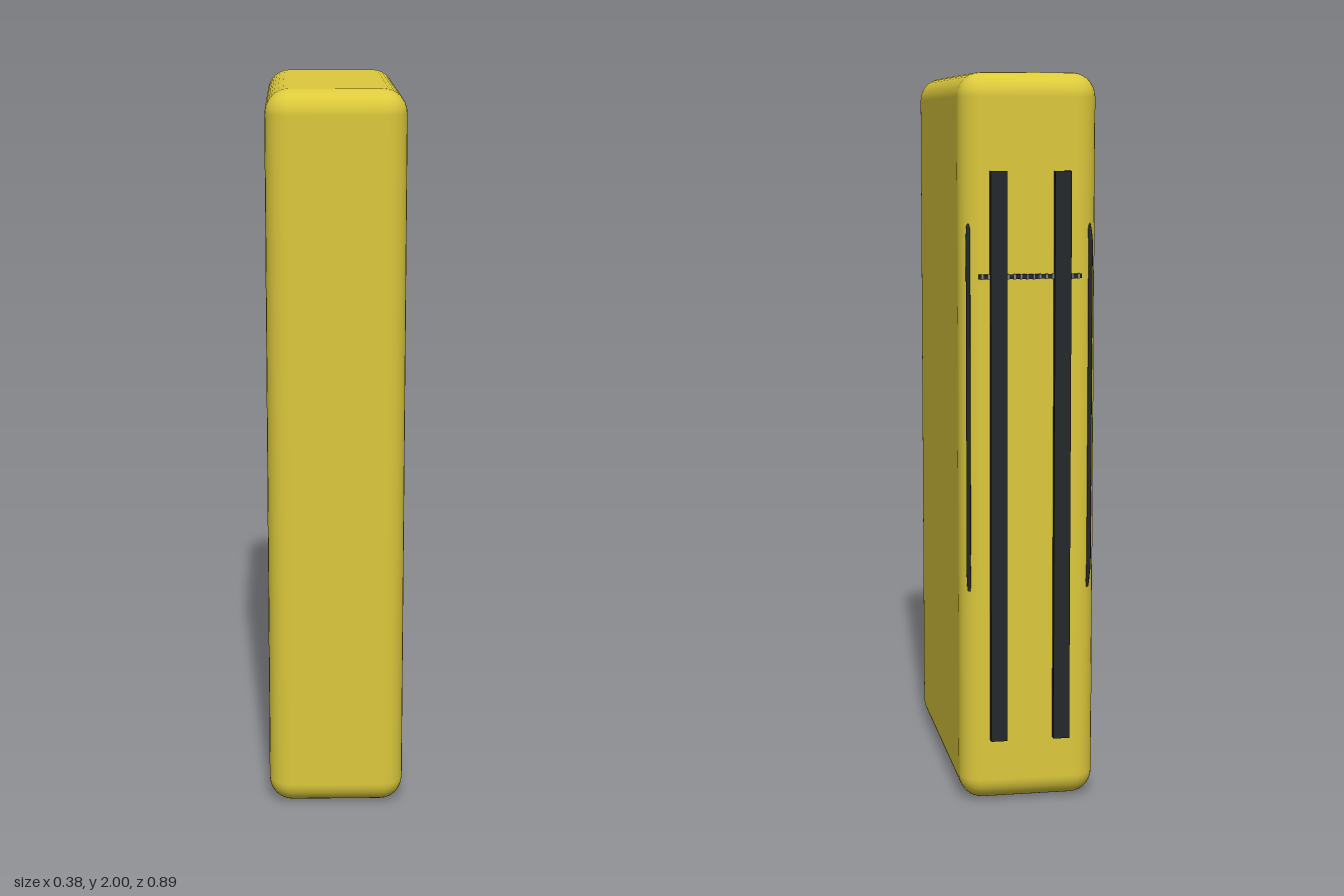
import * as THREE from 'three';
import { RoundedBoxGeometry } from 'three/addons/geometries/RoundedBoxGeometry.js';

export function createModel() {
  const model = new THREE.Group();
  const yellow = new THREE.MeshStandardMaterial({ color: 0xdcc93c });
  const dark = new THREE.MeshStandardMaterial({ color: 0x24282c });
  const grey = new THREE.MeshStandardMaterial({ color: 0x80868a });

  const add = (name, geometry, material, x, y, z) => {
    const mesh = new THREE.Mesh(geometry, material);
    mesh.name = name;
    mesh.position.set(x, y, z);
    model.add(mesh);
    return mesh;
  };

  // Tall padded body with rounded edges
  add('body', new RoundedBoxGeometry(0.376, 2, 0.873, 4, 0.065), yellow, 0, 1, 0.009);

  for (const side of [1, -1]) {
    const label = side > 0 ? 'left' : 'right';

    // Long flat strap on the back
    add(label + 'Strap', new THREE.BoxGeometry(0.045, 1.56, 0.02), dark, side * 0.087, 0.96, -0.437);

    // Thin piping on the back corner, with its ends tucked inward
    const path = new THREE.CatmullRomCurve3([
      [0.163, 1.6, -0.407], [0.167, 1.56, -0.417], [0.167, 1.45, -0.419],
      [0.167, 0.75, -0.419], [0.167, 0.66, -0.417], [0.163, 0.6, -0.409],
    ].map(([x, y, z]) => new THREE.Vector3(side * x, y, z)));
    add(label + 'Piping', new THREE.TubeGeometry(path, 40, 0.006, 8), dark, 0, 0, 0);
  }

  // Narrow zip across the straps
  add('zipTape', new THREE.BoxGeometry(0.28, 0.012, 0.011), dark, 0, 1.46, -0.4335);

  // Row of small zip teeth
  for (let i = 0; i < 16; i++) {
    add('zipTooth', new THREE.BoxGeometry(0.005, 0.014, 0.008), grey, -0.131 + i * 0.0175, 1.46, -0.438);
  }

  return model;
}
